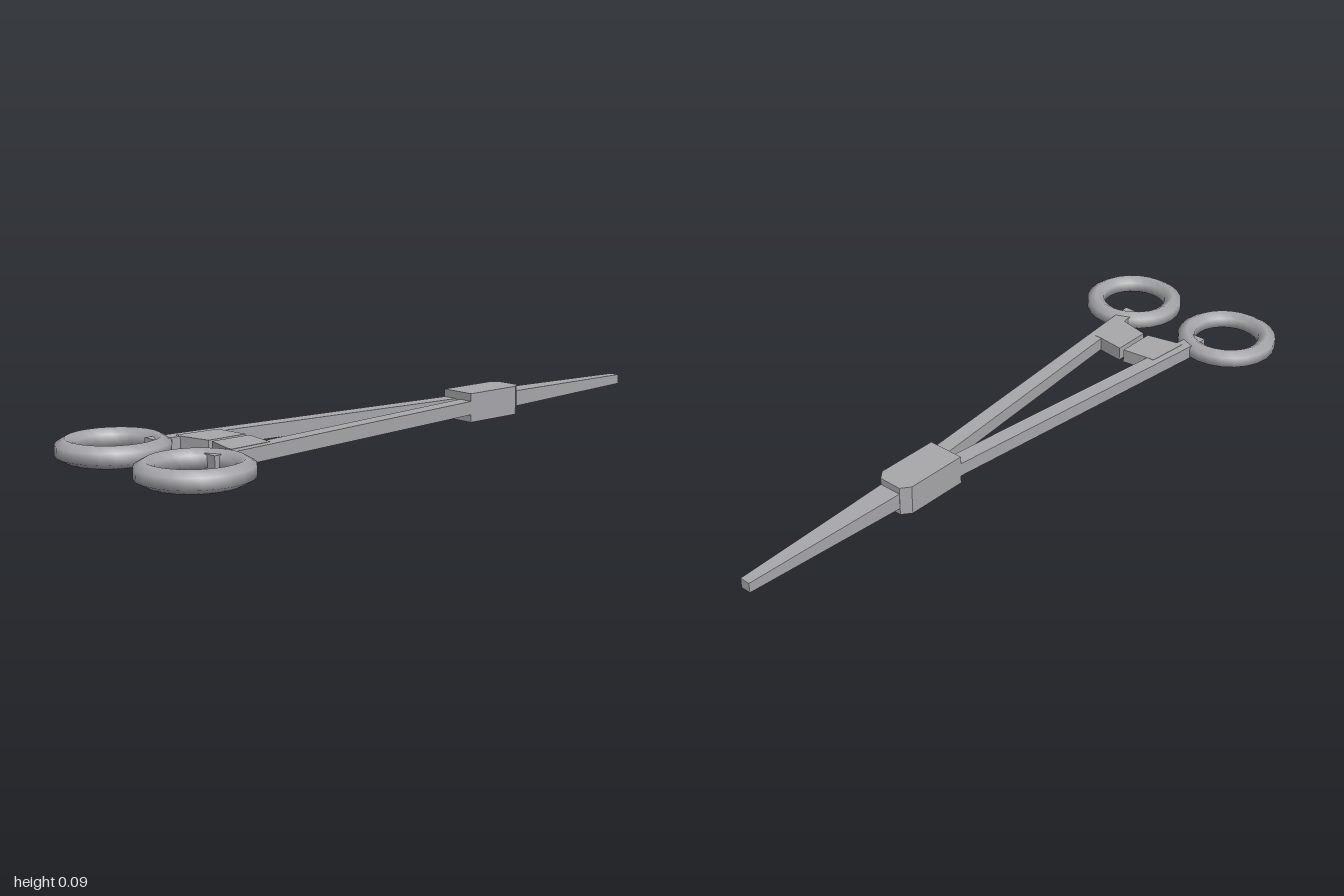
import * as THREE from 'three';
import { mergeVertices } from 'three/addons/utils/BufferGeometryUtils.js';

const MID = 0.044; // height of the central plane

// Flat plate from an [x, z] outline, centred on MID
function plate(outline, thickness, side = 1) {
  const shape = new THREE.Shape(outline.map(([x, z]) => new THREE.Vector2(x * side, -z)));
  const geo = new THREE.ExtrudeGeometry(shape, { depth: thickness, bevelEnabled: false });
  geo.rotateX(-Math.PI / 2);
  geo.translate(0, MID - thickness / 2, 0);
  return geo;
}

// Finger ring: hexagonal tube swept round a circle, smooth normals
function ringGeometry(radius, tube) {
  const profile = [];
  for (let i = 0; i <= 6; i++) {
    const a = -Math.PI / 2 + (i * Math.PI) / 3;
    profile.push(new THREE.Vector2(radius + tube * Math.cos(a), tube * Math.sin(a)));
  }
  let geo = new THREE.LatheGeometry(profile, 24);
  geo.deleteAttribute('uv');
  geo.deleteAttribute('normal');
  geo = mergeVertices(geo, 1e-4);
  geo.computeVertexNormals();
  return geo;
}

// Jaw: box tapering in width and height towards the tip
function jawGeometry() {
  const back = -1, front = -0.46;
  const geo = new THREE.BoxGeometry(1, 1, 1).toNonIndexed();
  const p = geo.attributes.position;
  for (let i = 0; i < p.count; i++) {
    const tip = p.getZ(i) < 0;
    p.setXYZ(i, p.getX(i) * (tip ? 0.032 : 0.072),
      MID + p.getY(i) * (tip ? 0.03 : 0.049), tip ? back : front);
  }
  geo.computeVertexNormals();
  return geo;
}

export function createModel() {
  const group = new THREE.Group();
  const steel = new THREE.MeshStandardMaterial({ color: 0xa8a8ac });
  steel.name = 'steel grey';

  const add = (name, geo) => {
    const mesh = new THREE.Mesh(geo, steel);
    mesh.name = name;
    group.add(mesh);
    return mesh;
  };

  // Closed jaws and the box joint with chamfered rear corners
  add('jaws', jawGeometry());
  add('boxJoint', plate([
    [-0.057, -0.26], [0.057, -0.26], [0.057, -0.455],
    [0.036, -0.482], [-0.036, -0.482], [-0.057, -0.455],
  ], 0.088));

  // Mirrored handles
  for (const [label, side] of [['left', 1], ['right', -1]]) {
    add(label + 'Arm', plate([
      [0.004, -0.3], [0.053, -0.3], [0.158, 0.765], [0.113, 0.765],
    ], 0.041, side));
    add(label + 'Ratchet', plate([
      [0.1, 0.552], [0.008, 0.54], [0.008, 0.664], [0.107, 0.687], [0.125, 0.687], [0.115, 0.552],
    ], 0.043, side));
    add(label + 'FingerRing', ringGeometry(0.128, 0.031)).position.set(side * 0.186, MID, 0.845);
  }
  return group;
}
